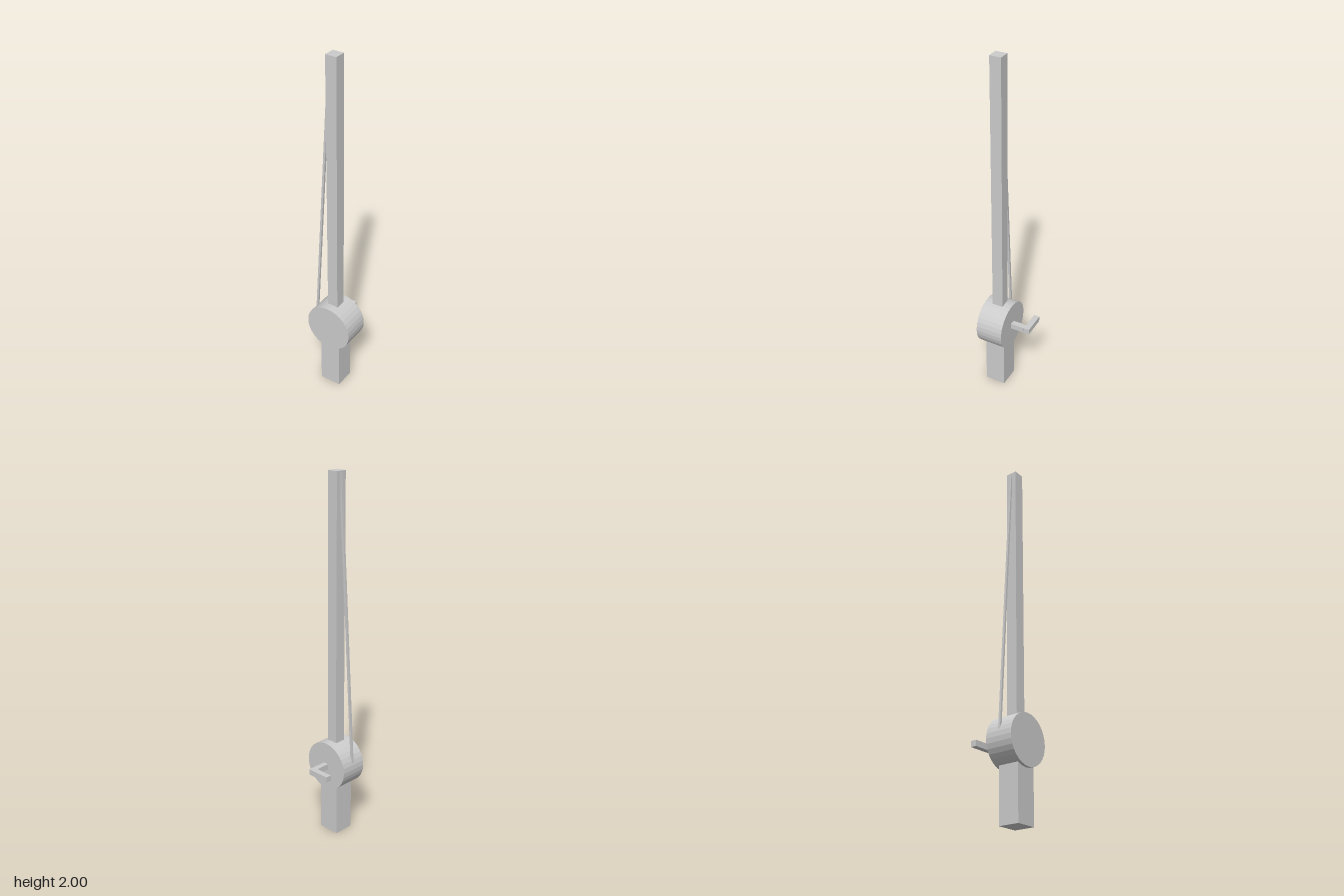
import * as THREE from 'three';

export function createModel() {
  const group = new THREE.Group();
  const material = new THREE.MeshStandardMaterial({ color: 0xcccccc, flatShading: true });
  const axisZ = 0.055; // shared depth of handle, reel, rod and line

  function add(name, geometry, x, y, z) {
    const mesh = new THREE.Mesh(geometry, material);
    mesh.name = name;
    mesh.position.set(x, y, z);
    group.add(mesh);
    return mesh;
  }
  const box = (name, w, h, d, x, y, z) => add(name, new THREE.BoxGeometry(w, h, d), x, y, z);

  // Grip and long square pole
  box('handle', 0.122, 0.36, 0.116, 0, 0.18, axisZ + 0.002);
  box('pole', 0.062, 1.56, 0.062, 0, 1.22, axisZ);

  // Drum lying along z
  const reel = add('reel', new THREE.CylinderGeometry(0.136, 0.136, 0.154, 32), 0, 0.413, axisZ);
  reel.rotation.x = Math.PI / 2;

  // Crank behind the drum: shaft, then arm towards the right
  box('crankShaft', 0.031, 0.032, 0.1, 0, 0.413, -0.052);
  box('crankArm', 0.131, 0.032, 0.032, -0.0505, 0.413, -0.118);

  // Thin line from the side of the drum to the tip of the pole
  const start = new THREE.Vector3(-0.126, 0.42, axisZ - 0.001);
  const end = new THREE.Vector3(-0.029, 1.99, axisZ - 0.001);
  const span = end.clone().sub(start);
  const middle = start.clone().add(end).multiplyScalar(0.5);
  const line = box('line', 0.012, span.length(), 0.012, middle.x, middle.y, middle.z);
  line.rotation.z = -Math.atan2(span.x, span.y);

  return group;
}
